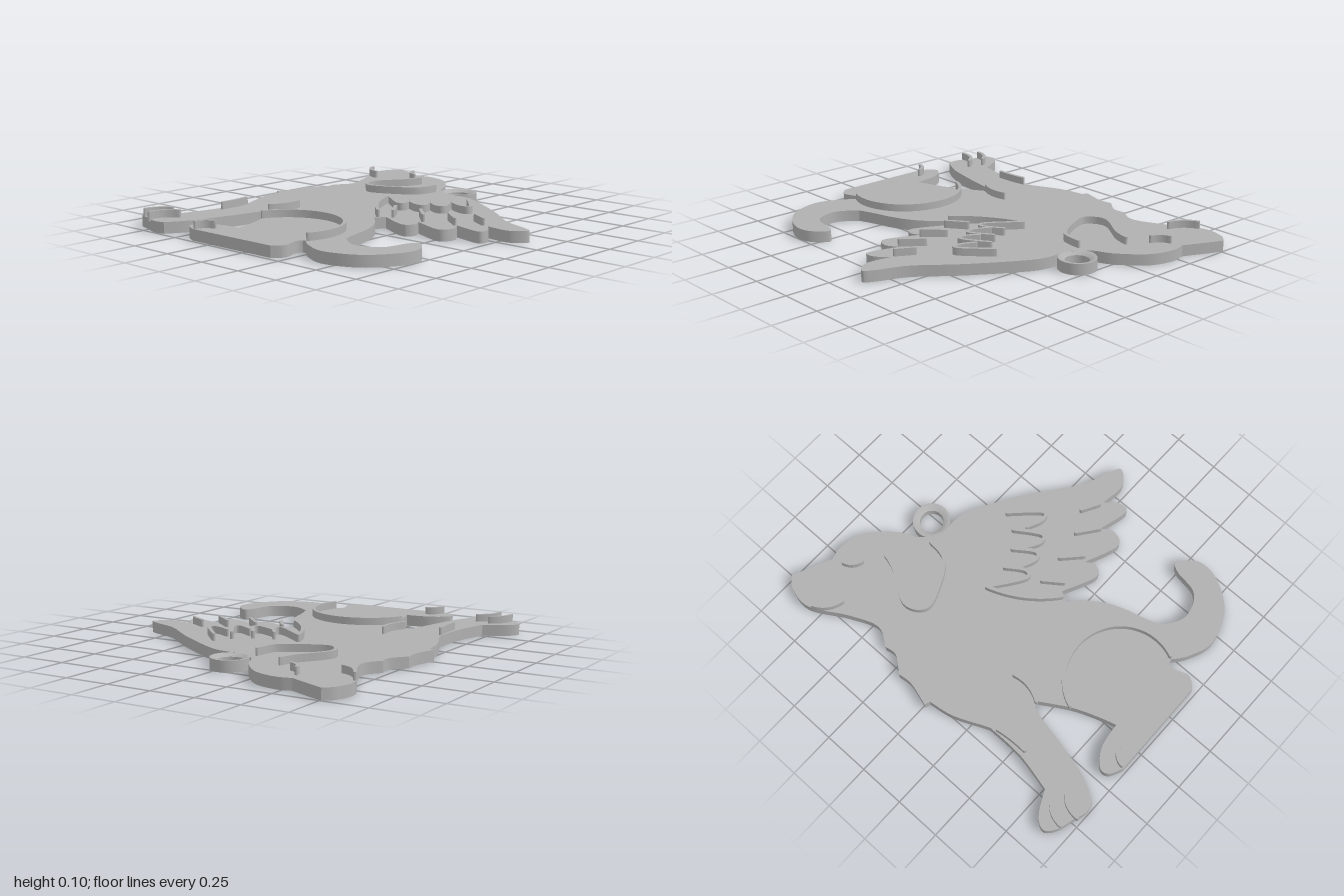
import * as THREE from 'three';
import { toCreasedNormals } from 'three/addons/utils/BufferGeometryUtils.js';

const PLATE = 0.06, RIDGE_TOP = 0.1, RIDGE_RADIUS = 0.009;

// Flat x, up pairs in hundredths to points.
function toPoints(flat) {
  const points = [];
  for (let i = 0; i < flat.length; i += 2) points.push(new THREE.Vector2(flat[i] / 100, flat[i + 1] / 100));
  return points;
}

// Joins runs into one outline: smooth within a run, sharp where runs meet.
function outline(...runs) {
  const points = toPoints(runs[0].slice(0, 2));
  runs.forEach((run, i) => {
    const knots = [points[points.length - 1], ...toPoints(i ? run : run.slice(2))];
    if (knots.length === 2) points.push(knots[1]);
    else if (knots.length > 2) points.push(...new THREE.SplineCurve(knots).getPoints((knots.length - 1) * 8).slice(1));
  });
  if (points[0].distanceTo(points[points.length - 1]) < 1e-6) points.pop();
  return points;
}

// Extrudes a flat shape upward from y = bottom to y = top.
function slab(points, bottom, top) {
  const geometry = new THREE.ExtrudeGeometry(new THREE.Shape(points), { depth: top - bottom, bevelEnabled: false });
  geometry.rotateX(-Math.PI / 2).translate(0, bottom, 0);
  return toCreasedNormals(geometry, 0.6);
}

// Thickens a curve into a ribbon with rounded ends.
function ribbon(curve, steps) {
  const left = [], right = [], caps = [[], []];
  for (let i = 0; i <= steps; i++) {
    const p = curve.getPoint(i / steps);
    const t = curve.getTangent(i / steps);
    const heading = Math.atan2(t.y, t.x);
    const around = (a) => new THREE.Vector2(p.x + Math.cos(a) * RIDGE_RADIUS, p.y + Math.sin(a) * RIDGE_RADIUS);
    left.push(around(heading + Math.PI / 2));
    right.unshift(around(heading - Math.PI / 2));
    if (i === 0 || i === steps) {
      const start = heading + (i ? 1 : -1) * Math.PI / 2;
      for (let k = 1; k < 5; k++) caps[i ? 1 : 0].push(around(start - k * Math.PI / 5));
    }
  }
  return [...left, ...caps[1], ...right, ...caps[0]];
}

// A gently bent stroke between two points.
function stroke(x1, y1, x2, y2, bend) {
  const [a, b] = toPoints([x1, y1, x2, y2]);
  const d = b.clone().sub(a).normalize();
  const middle = a.clone().add(b).multiplyScalar(0.5);
  middle.add(new THREE.Vector2(-d.y, d.x).multiplyScalar(bend / 100));
  return new THREE.QuadraticBezierCurve(a, middle, b);
}

// A feather edge: out to a rounded tip and back up.
function hook(x, y, tipX, tipY, endX, endY) {
  return new THREE.SplineCurve(toPoints([x, y, tipX - 3.5, tipY, tipX, tipY + 3, endX, endY]));
}

export function createModel() {
  const model = new THREE.Group();
  model.name = 'wingedDogPendant';
  const grey = new THREE.MeshStandardMaterial({ color: 0xb0b0b0 });
  grey.name = 'grey';
  const add = (name, geometry) => {
    const mesh = new THREE.Mesh(geometry, grey);
    mesh.name = name;
    model.add(mesh);
    return mesh;
  };
  const plate = (name, ...runs) => add(name, slab(outline(...runs), 0, PLATE));
  const ridge = (name, curve, steps) => add(name, slab(ribbon(curve, steps), PLATE - 0.01, RIDGE_TOP));

  // Head, chest and back
  plate('headAndBody',
    [-76, 100, -68, 96.5, -55, 90.5],
    [-46, 92, -33, 88, -21, 76, -16, 66],
    [-12, 62, -3, 57.2, 3, 57.5],
    [10, -18], [18, -26, 24, -35, 28, -45],
    [-40.5, -43], [-67, -40],
    [-67, -34.5, -75, -16, -77.5, -2],
    [-80.5, -1], [-77, 11.5, -77.5, 20], [-71, 28.5, -71.5, 35.5],
    [-66, 46, -72, 62, -82.5, 81, -81, 94, -76, 100]);

  // Wing with feathered lower edge
  plate('wing',
    [-10, 20], [3, 57.5],
    [16, 54.5, 45, 36.5, 66, 20.5, 82, 14, 87.5, 10, 80, 3.5, 66, 4.8],
    [71.5, -2, 70, -8, 53.5, -4],
    [57, -11, 52, -17.5, 33.5, -10.5],
    [36, -16, 31, -20.5, 13, -12.5], [10, -18]);

  // Seated hindquarters and hind paw
  plate('hindquarters',
    [-30, -38], [18, -40], [28, -45], [30.5, -54.5, 33.5, -63], [23, -79.5],
    [20.5, -80, 19.5, -84, 22, -92, 17.5, -97.8], [-38, -98.5],
    [-45, -94.5, -45, -89, -36, -83, -23, -81],
    [-26.5, -70, -31.5, -58, -40.5, -43]);

  // Foreleg and front paw
  plate('foreleg',
    [-60, -30], [-42, -36], [-42, -43.5],
    [-45, -47, -49, -66, -54, -85, -61, -98],
    [-67, -99.2, -75, -96.5],
    [-83, -94, -88, -89, -84, -82.5, -72, -76],
    [-67.5, -55, -67, -34.5]);

  // Upturned tail
  plate('tail',
    [22, -62], [30, -55],
    [33.5, -63, 45.5, -70, 58.5, -65, 62, -51, 66, -47, 74, -55.5, 73, -68, 62, -83, 44, -89.5, 30, -85, 22, -79]);

  // Raised ear and haunch lines
  ridge('earLine', new THREE.SplineCurve(toPoints(
    [-35, 70, -38, 61, -48, 44, -42, 33.5, -29, 37, -16, 45.5, -13.5, 57.5])), 48);
  ridge('haunchLine', new THREE.EllipseCurve(-0.04, -0.67, 0.295, 0.285, -0.41, 2.79), 48);

  // Raised short strokes
  [
    ['mouthLine', -81, 79, -69, 69, -4],
    ['eyeLine', -53, 84, -46, 77, -3],
    ['chestLine', -65.5, -38, -64.5, -55.5, 1],
    ['shoulderLine', -38.5, -25, -41.5, -43, 4],
    ['frontToeLine1', -73.5, -82, -81, -94, -4],
    ['frontToeLine2', -65, -84.5, -72.5, -98, -5],
    ['hindToeLine', -31, -90, -37.5, -97, -3],
    ['wingRootLine', 10, -15, -12.5, 18, 6],
    ['featherLine1', 9.5, -1, 16.5, -10.5, 0],
    ['featherLine2', 25.5, 0.5, 35, -8.5, 0],
    ['featherLine3', 42, 3.5, 52.5, -4.5, 0],
    ['featherLine4', 54, 10, 63, 5, 0],
  ].forEach(([name, ...line]) => ridge(name, stroke(...line), 12));

  // Raised upper feather edges
  [
    [-12.5, 18, 8, 6, 2, 18.5],
    [5.5, 13.5, 19.5, 9, 12.5, 22.5],
    [18, 17.5, 29, 13.5, 21, 29.5],
    [27, 25, 39, 21.5, 26, 38.5],
  ].forEach((edge, i) => ridge(`upperFeather${i + 1}`, hook(...edge), 24));

  // Hanging ring with a countersunk hole
  const profile = [[0.063, 0], [0.1, 0], [0.1, PLATE], [0.085, PLATE], [0.063, 0.045], [0.063, 0]];
  const ringGeometry = new THREE.LatheGeometry(profile.map(([x, y]) => new THREE.Vector2(x, y)), 48);
  add('hangingRing', toCreasedNormals(ringGeometry, 0.6)).position.set(-0.035, 0, -0.665);

  return model;
}
